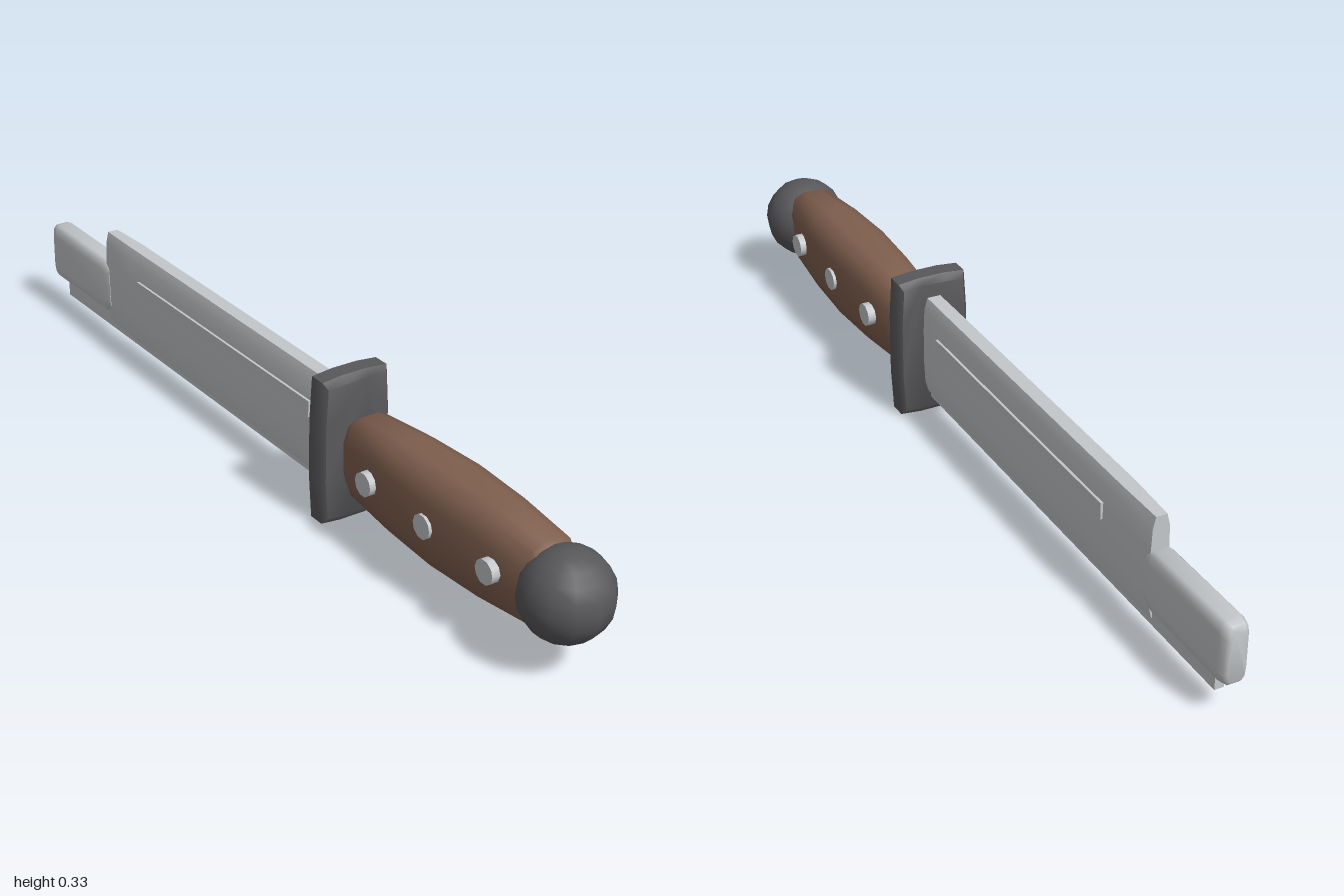
import * as THREE from 'three';
import { toCreasedNormals } from 'three/addons/utils/BufferGeometryUtils.js';

const mat = (name, color) => {
  const m = new THREE.MeshStandardMaterial({ color });
  m.name = name;
  return m;
};

// Lofts a mirrored outline along z. quarter: points of the upper +x quarter, from top to side.
// sections: [z, halfWidth, halfHeight, centreY], z descending.
function loft(quarter, sections, crease = 0.7) {
  const right = [...quarter, ...quarter.slice().reverse().map(([x, y]) => [x, -y])];
  const ring = [...right, ...right.slice().reverse().map(([x, y]) => [-x, y])];
  const n = ring.length, pos = [], idx = [];
  for (const [z, w, h, cy] of sections) {
    for (const [x, y] of ring) pos.push(x * w, cy + y * h, z);
  }
  for (let s = 0; s < sections.length - 1; s++) {
    for (let i = 0; i < n; i++) {
      const j = (i + 1) % n, a = s * n + i, b = s * n + j;
      idx.push(a, b, b + n, a, b + n, a + n);
    }
  }
  // End caps
  const last = (sections.length - 1) * n;
  for (let i = 1; i < n - 1; i++) {
    idx.push(0, i + 1, i);
    idx.push(last, last + i, last + i + 1);
  }
  const g = new THREE.BufferGeometry();
  g.setAttribute('position', new THREE.Float32BufferAttribute(pos, 3));
  g.setIndex(idx);
  return toCreasedNormals(g, crease);
}

export function createModel() {
  const group = new THREE.Group();
  const steel = mat('steel', 0xc4c7ca);
  const iron = mat('dark iron', 0x58585b);
  const wood = mat('brown wood', 0x7f5f4e);

  const add = (name, geometry, material, x = 0, y = 0, z = 0) => {
    const mesh = new THREE.Mesh(geometry, material);
    mesh.name = name;
    mesh.position.set(x, y, z);
    group.add(mesh);
    return mesh;
  };

  // Pommel
  add('pommel', new THREE.SphereGeometry(0.093, 12, 10), iron, 0, 0.167, 0.907);

  // Grip, swelling in the middle
  add('grip', loft([[0.35, 1], [0.76, 0.88], [1, 0.45]], [
    [0.872, 0.05, 0.08, 0.167],
    [0.86, 0.056, 0.088, 0.167],
    [0.72, 0.068, 0.1, 0.167],
    [0.58, 0.074, 0.104, 0.167],
    [0.44, 0.068, 0.1, 0.167],
    [0.3, 0.057, 0.09, 0.167],
    [0.278, 0.047, 0.074, 0.167],
  ], 0.9), wood);

  // Rivets on both sides of the grip
  for (const z of [0.77, 0.58, 0.39]) {
    for (const side of [-1, 1]) {
      const rivet = add('rivet', new THREE.CylinderGeometry(0.026, 0.026, 0.04, 10),
        steel, side * 0.06, 0.167, z);
      rivet.rotation.z = Math.PI / 2;
    }
  }

  // Crossguard
  add('guard', loft([[0.36, 1], [0.93, 0.97], [1, 0.4]], [
    [0.257, 0.075, 0.15, 0.166],
    [0.246, 0.083, 0.165, 0.166],
    [0.209, 0.083, 0.165, 0.166],
    [0.198, 0.075, 0.15, 0.166],
  ], 0.9), iron);

  // Blade body
  add('blade', loft([[0.6, 1], [0.9, 0.78], [1, 0.35]], [
    [0.21, 0.025, 0.115, 0.17],
    [0.12, 0.026, 0.115, 0.17],
    [-0.62, 0.026, 0.115, 0.17],
    [-0.735, 0.02, 0.113, 0.17],
  ]), steel);

  // Raised strip along both faces of the blade
  for (const side of [-1, 1]) {
    add('bladeStrip', new THREE.BoxGeometry(0.012, 0.036, 0.7), steel, side * 0.025, 0.203, -0.222);
  }

  // Stepped, rounded tip
  add('bladeTip', loft([[0.6, 1], [0.9, 0.88], [1, 0.6]], [
    [-0.72, 0.022, 0.056, 0.147],
    [-0.745, 0.027, 0.066, 0.147],
    [-0.975, 0.027, 0.068, 0.147],
    [-0.993, 0.024, 0.064, 0.147],
    [-1.0, 0.018, 0.056, 0.147],
  ], 0.9), steel);

  // Cutting edge
  add('cuttingEdge', new THREE.BoxGeometry(0.02, 0.04, 1.16), steel, 0, 0.06, -0.37);

  return group;
}
